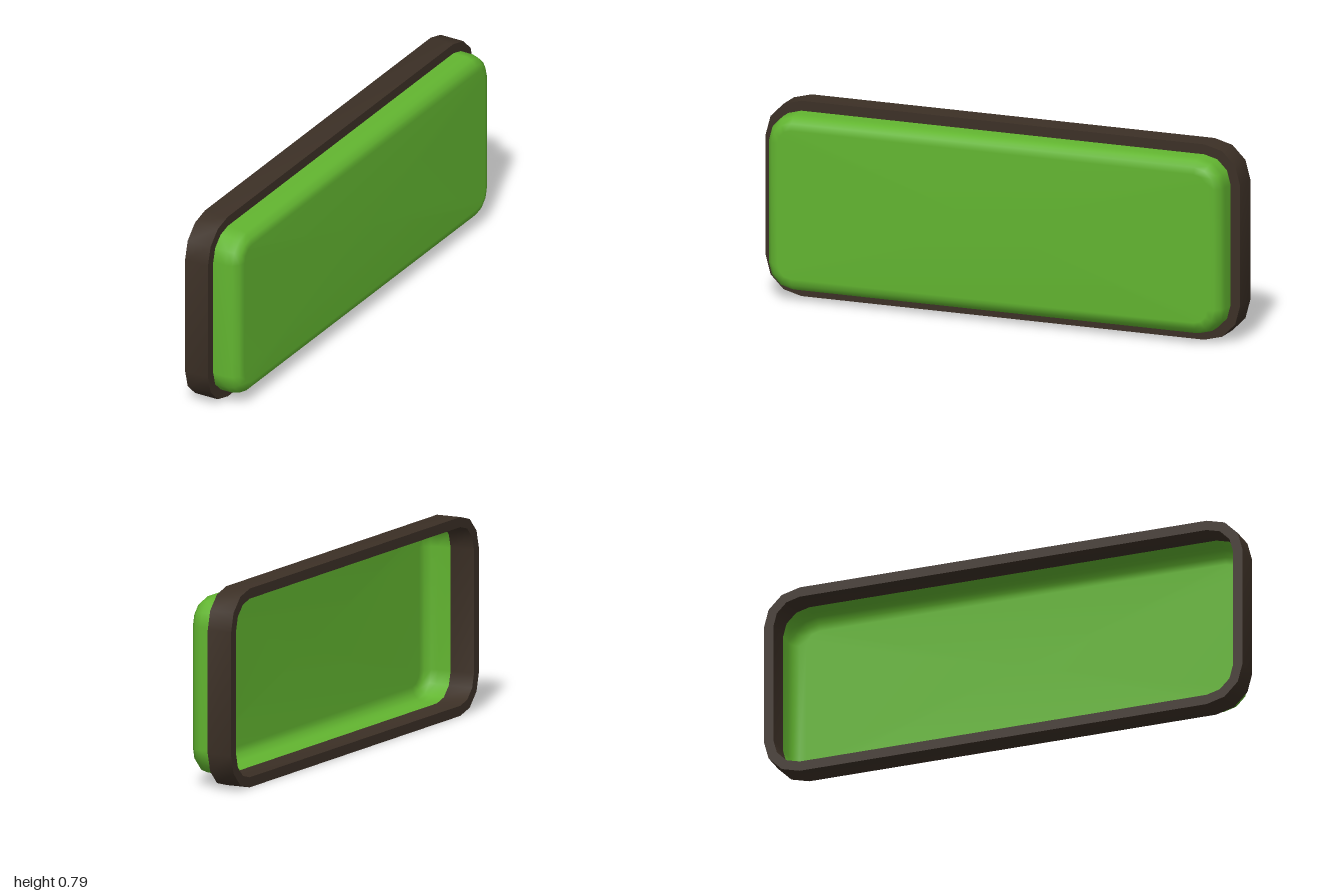
import * as THREE from 'three';
import { toCreasedNormals } from 'three/addons/utils/BufferGeometryUtils.js';

const CENTER_Y = 0.394;
const STEPS = 3; // facets per rounded corner

// Counter-clockwise rounded rectangle around the origin
function roundedRect(halfW, halfH, r) {
  const pts = [];
  [[1, 1], [-1, 1], [-1, -1], [1, -1]].forEach(([sx, sy], corner) => {
    for (let i = 0; i <= STEPS; i++) {
      const a = (corner + i / STEPS) * Math.PI / 2;
      pts.push(new THREE.Vector2(
        sx * (halfW - r) + r * Math.cos(a),
        sy * (halfH - r) + r * Math.sin(a)));
    }
  });
  return pts;
}

// Open-backed shell: rounded outlines stacked along the depth, closed by a flat face
function shellGeometry(halfW, halfH, r, back, front, fillet) {
  const sections = [[back, 0]];
  for (let i = 0; i <= STEPS; i++) {
    const a = (i / STEPS) * Math.PI / 2;
    sections.push([front - fillet + fillet * Math.sin(a), fillet * (1 - Math.cos(a))]);
  }
  const pos = [];
  const index = [];
  let n = 0;
  for (const [depth, inset] of sections) {
    const ring = roundedRect(halfW - inset, halfH - inset, r - inset);
    n = ring.length;
    ring.forEach((p) => pos.push(p.x, p.y, depth));
  }
  const last = (sections.length - 1) * n;
  const center = last + n;
  pos.push(0, 0, front);
  for (let j = 0; j < n; j++) {
    const k = (j + 1) % n;
    for (let s = 0; s < last; s += n) {
      index.push(s + j, s + k, s + n + k, s + j, s + n + k, s + n + j);
    }
    index.push(last + j, last + k, center);
  }
  const geo = new THREE.BufferGeometry();
  geo.setAttribute('position', new THREE.Float32BufferAttribute(pos, 3));
  geo.setIndex(index);
  geo.computeVertexNormals();
  return geo;
}

export function createModel() {
  const group = new THREE.Group();
  group.name = 'framedPanel';
  const brown = new THREE.MeshStandardMaterial({ name: 'darkBrown', color: 0x3c3026 });
  const green = new THREE.MeshStandardMaterial({ name: 'leafGreen', color: 0x62b530, side: THREE.DoubleSide });

  function add(name, geo, material) {
    geo.rotateY(Math.PI / 2); // depth runs along +x
    geo.translate(0, CENTER_Y, 0);
    const mesh = new THREE.Mesh(geo, material);
    mesh.name = name;
    group.add(mesh);
  }

  // Rim frame with a through opening
  const shape = new THREE.Shape(roundedRect(1, 0.394, 0.15));
  shape.holes.push(new THREE.Path(roundedRect(0.96, 0.354, 0.11).reverse()));
  const rim = new THREE.ExtrudeGeometry(shape, { depth: 0.104, bevelEnabled: false });
  rim.translate(0, 0, -0.107);
  add('frame', toCreasedNormals(rim, 0.7), brown);

  // Hollow softened panel standing out of the frame
  add('panelShell', shellGeometry(0.96, 0.354, 0.11, -0.003, 0.107, 0.055), green);

  return group;
}
